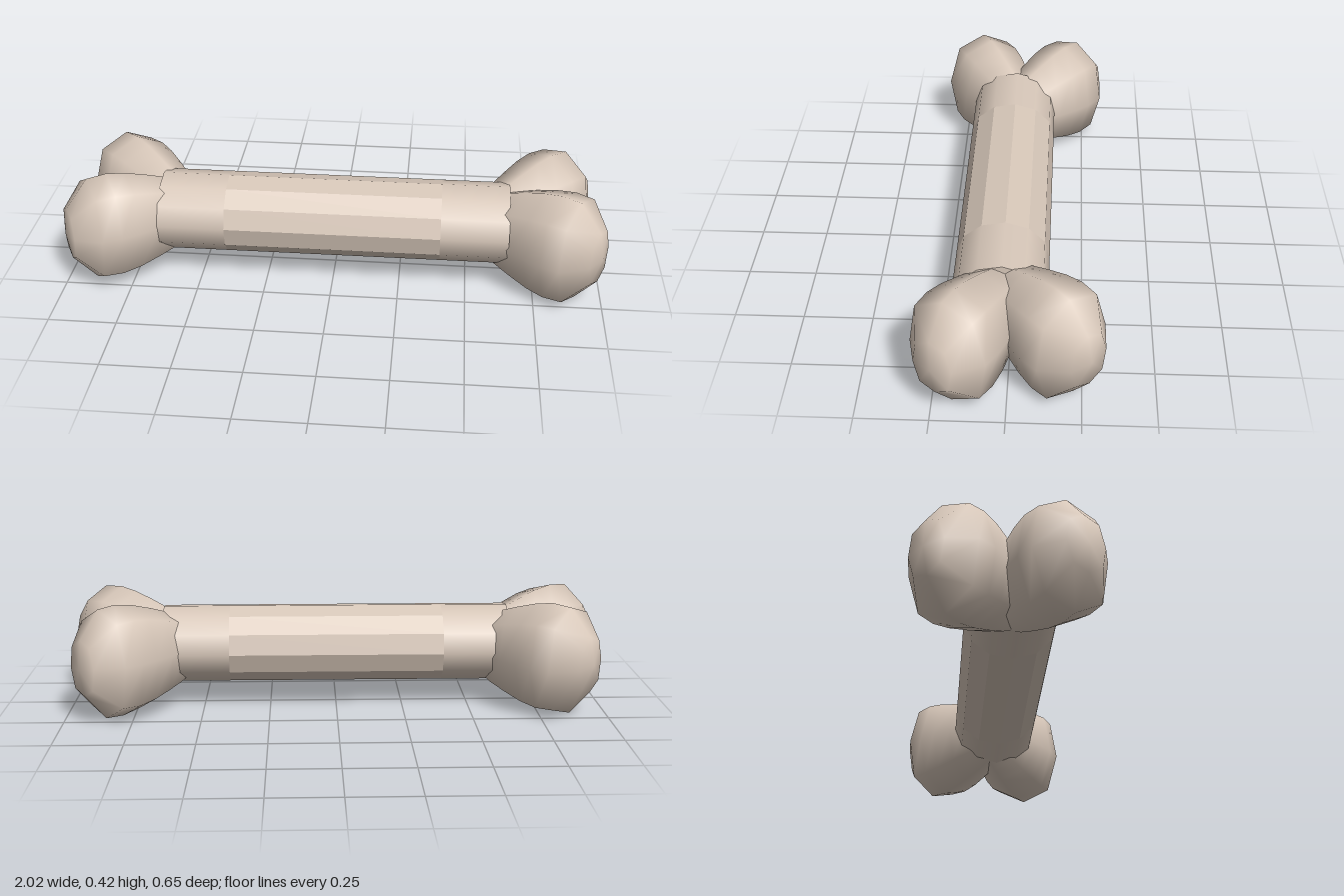
import * as THREE from 'three';
import { mergeVertices } from 'three/addons/utils/BufferGeometryUtils.js';

const bone = new THREE.MeshStandardMaterial({ color: 0xd8c8ba });
bone.name = 'bone';

// Twelve-sided oval bar along x, from x0 to x1
function barGeometry(x0, x1, open) {
  const geo = new THREE.CylinderGeometry(1, 1, x1 - x0, 12, 1, open, -0.06);
  geo.rotateZ(-Math.PI / 2);
  geo.scale(1, 0.146, 0.166);
  geo.translate((x0 + x1) / 2, 0.225, 0.035);
  return geo;
}

// Eight-sided rounded knuckle with a neck, lying along +x and taller than wide
function knuckleGeometry() {
  const profile = [
    [0.07, -0.06], [0.11, 0.05], [0.128, 0.12], [0.146, 0.2],
    [0.155, 0.27], [0.151, 0.345], [0.076, 0.43], [0, 0.445],
  ].map(([r, s]) => new THREE.Vector2(r, s));
  let geo = new THREE.LatheGeometry(profile, 8);
  // Swell the diagonal corners for a squarer section
  const p = geo.attributes.position;
  for (let i = 0; i < p.count; i++) {
    const angle = Math.atan2(p.getZ(i), p.getX(i));
    const swell = 1 + 0.07 * Math.abs(Math.sin(2 * angle));
    p.setX(i, p.getX(i) * swell);
    p.setZ(i, p.getZ(i) * swell);
  }
  geo.deleteAttribute('uv');
  geo.deleteAttribute('normal');
  geo = mergeVertices(geo, 1e-4);
  geo.rotateY(0.08);
  geo.scale(1.35, 1, 1);
  geo.rotateZ(-Math.PI / 2);
  geo.computeVertexNormals();
  return geo;
}

export function createModel() {
  const group = new THREE.Group();
  const add = (name, geo) => {
    const mesh = new THREE.Mesh(geo, bone);
    mesh.name = name;
    group.add(mesh);
    return mesh;
  };

  // Faceted middle of the shaft
  const middle = barGeometry(-0.4, 0.4, true).toNonIndexed();
  middle.computeVertexNormals();
  add('shaftMiddle', middle);

  // Smooth shaft ends, running into the knuckles
  add('leftShaftEnd', barGeometry(0.4, 0.65, false));
  add('rightShaftEnd', barGeometry(-0.65, -0.4, false));

  // Two splayed knuckles at each end
  const knuckle = knuckleGeometry();
  const knuckles = [
    ['leftFrontKnuckle', 1, -30], ['leftBackKnuckle', 1, 42],
    ['rightFrontKnuckle', -1, 210], ['rightBackKnuckle', -1, 138],
  ];
  for (const [name, side, degrees] of knuckles) {
    const mesh = add(name, knuckle);
    mesh.position.set(0.6 * side, 0.21, 0.02);
    mesh.rotation.y = THREE.MathUtils.degToRad(degrees);
  }
  return group;
}
